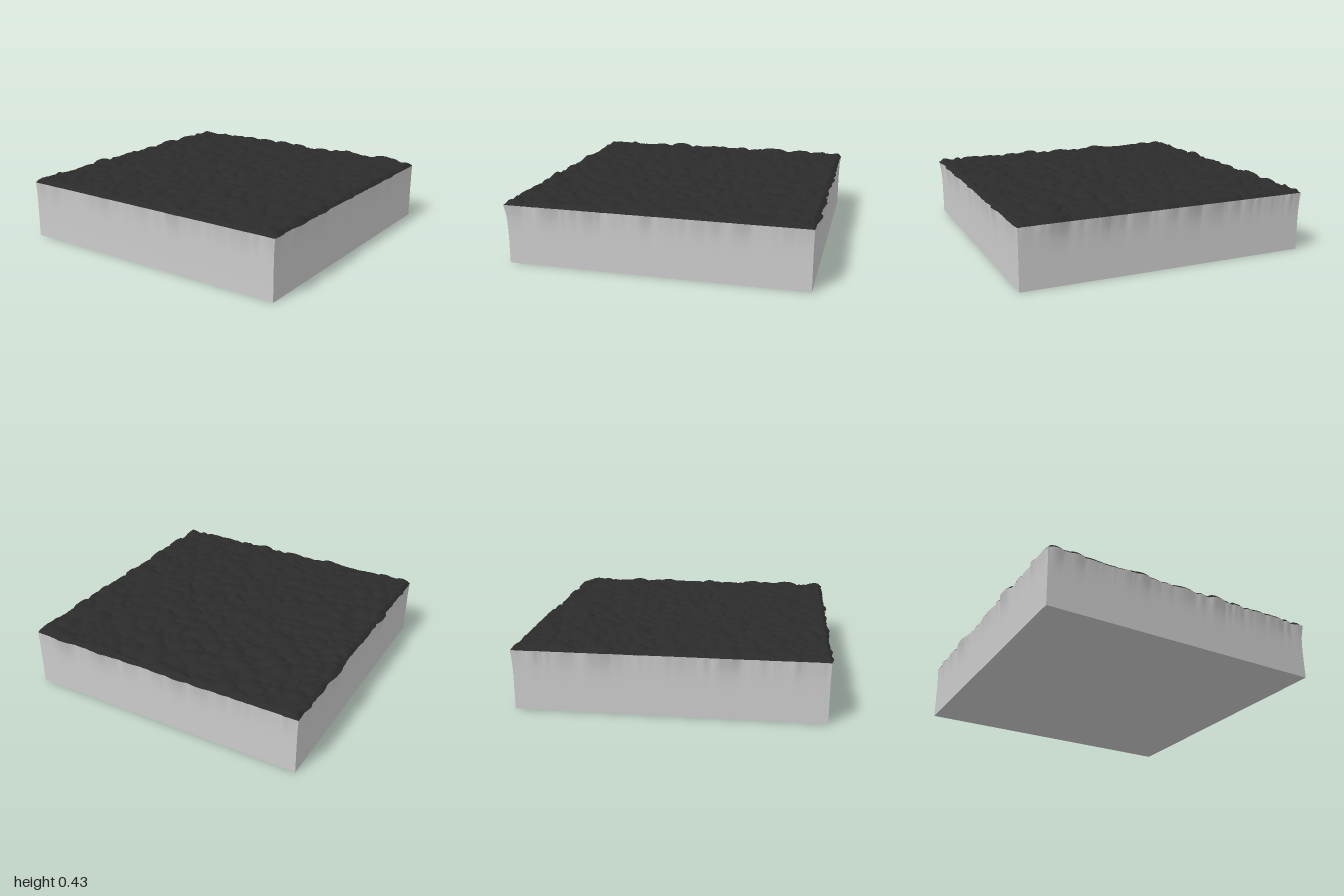
import * as THREE from 'three';

const E = 0.975;      // half width of the slab
const RIM = 0.385;    // height where the walls meet the gravel
const N = 190;        // grid divisions per side

// Repeatable random number from a cell and a salt
function hash(i, j, salt) {
  const s = Math.sin(i * 127.1 + j * 311.7 + salt * 74.7) * 43758.5453;
  return s - Math.floor(s);
}

// Height of the tallest rounded stone of one size class over (x, z)
function stones(x, z, cell, tall, salt) {
  const ci = Math.floor(x / cell), cj = Math.floor(z / cell);
  let best = 0;
  for (let i = ci - 1; i <= ci + 1; i++) {
    for (let j = cj - 1; j <= cj + 1; j++) {
      const px = (i + hash(i, j, salt)) * cell, pz = (j + hash(i, j, salt + 1)) * cell;
      const r = cell * (0.5 + 0.45 * hash(i, j, salt + 2));
      const d = Math.hypot(x - px, z - pz) / r;
      if (d < 1) best = Math.max(best, tall * (0.35 + 0.65 * hash(i, j, salt + 3)) * Math.sqrt(1 - d * d));
    }
  }
  return best;
}

// Point of the gravel surface; stones on the border bulge outwards
function surface(x, z) {
  const h = Math.max(stones(x, z, 0.11, 0.042, 1), stones(x, z, 0.06, 0.034, 11), stones(x, z, 0.035, 0.022, 21));
  const onX = Math.abs(x) > E - 1e-4, onZ = Math.abs(z) > E - 1e-4;
  const push = Math.min(0.025, 17 * h * h);
  return new THREE.Vector3(
    x + (onX ? Math.sign(x) * push : 0),
    onX || onZ ? RIM + 0.3 * h : RIM + 0.004 + h,
    z + (onZ ? Math.sign(z) * push : 0));
}

// Moves every vertex of a geometry by a rule
function shape(geometry, rule) {
  const pos = geometry.attributes.position, p = new THREE.Vector3();
  for (let i = 0; i < pos.count; i++) {
    const q = rule(p.fromBufferAttribute(pos, i));
    pos.setXYZ(i, q.x, q.y, q.z);
  }
  geometry.computeVertexNormals();
  return geometry;
}

function addMesh(parent, name, geometry, material) {
  const mesh = new THREE.Mesh(geometry, material);
  mesh.name = name;
  parent.add(mesh);
}

export function createModel() {
  const model = new THREE.Group();
  model.name = 'gravelSlab';
  const grey = new THREE.MeshStandardMaterial({ color: 0xcccccc });
  const dark = new THREE.MeshStandardMaterial({ color: 0x2b2b2b });

  // Rough gravel layer
  const top = new THREE.PlaneGeometry(2 * E, 2 * E, N, N).rotateX(-Math.PI / 2);
  addMesh(model, 'gravelTop', shape(top, (p) => surface(p.x, p.z)), dark);

  // Four walls, flaring into the ragged rim near the top
  const up = new THREE.Vector3(0, 1, 0);
  ['frontWall', 'leftWall', 'backWall', 'rightWall'].forEach((name, k) => {
    const wall = new THREE.PlaneGeometry(2 * E, 1, N, 8);
    shape(wall, (p) => {
      const v = p.y + 0.5;
      const foot = new THREE.Vector3(p.x, 0, E).applyAxisAngle(up, k * Math.PI / 2);
      const rim = surface(foot.x, foot.z);
      const flare = Math.pow(v, 6);
      return new THREE.Vector3(
        THREE.MathUtils.lerp(foot.x, rim.x, flare),
        RIM * v + (rim.y - RIM) * flare,
        THREE.MathUtils.lerp(foot.z, rim.z, flare));
    });
    addMesh(model, name, wall, grey);
  });

  // Flat underside
  addMesh(model, 'underside', new THREE.PlaneGeometry(2 * E, 2 * E).rotateX(Math.PI / 2), grey);
  return model;
}
